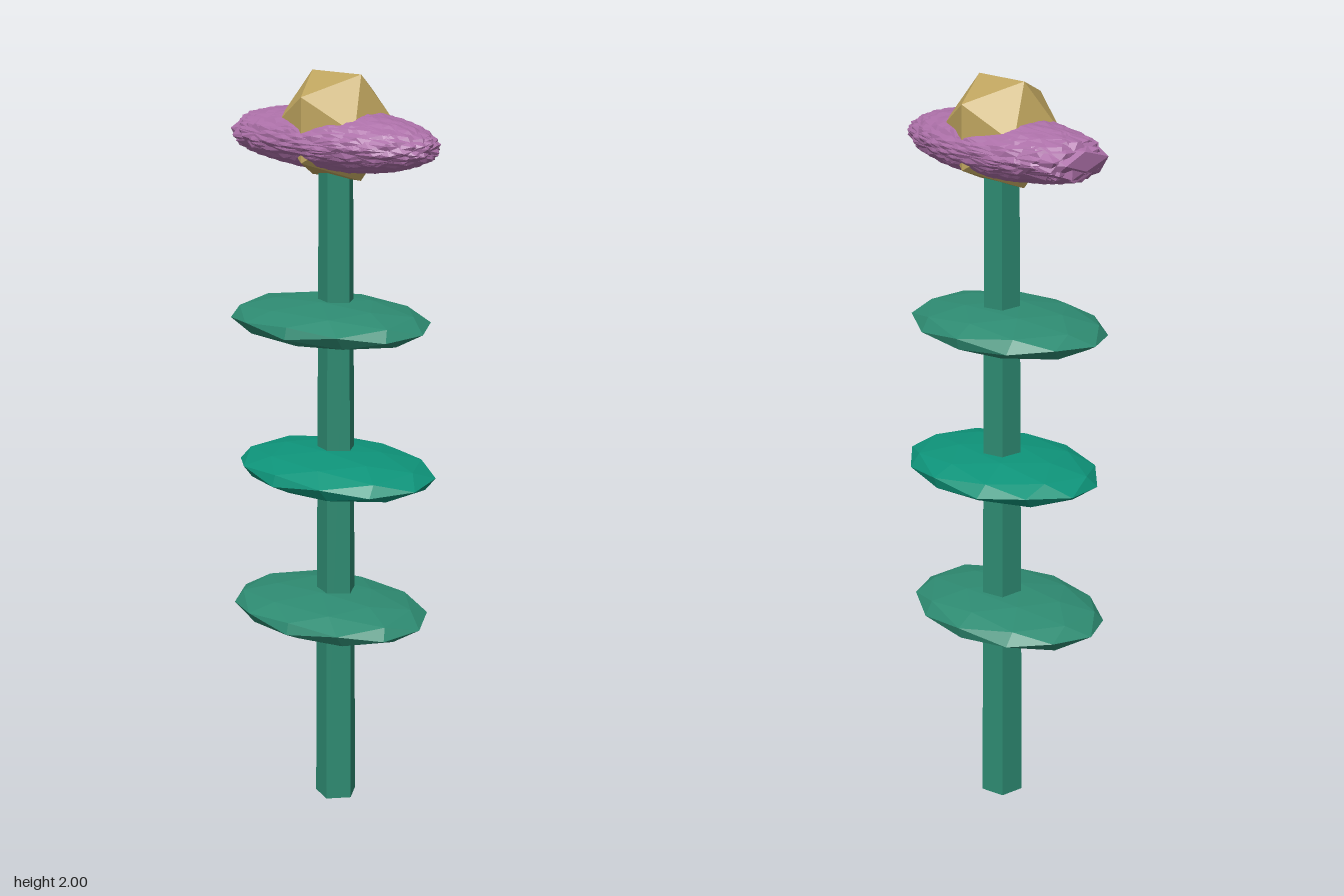
import * as THREE from 'three';

const mat = (color) => new THREE.MeshStandardMaterial({ color, flatShading: true });

// Faceted unit ball, turned first, then stretched, so the facets vary
function facetedBall(rx, ry, rz, sx, sy, sz) {
  const g = new THREE.IcosahedronGeometry(1, 1);
  g.rotateX(rx);
  g.rotateZ(rz);
  g.rotateY(ry);
  g.scale(sx, sy, sz);
  return g;
}

export function createModel() {
  const group = new THREE.Group();
  const green = mat(0x2e8b72);
  const brightGreen = mat(0x0e947a);
  const purple = mat(0xac70a8);
  const gold = mat(0xbfa55f);
  const add = (name, geometry, material, x, y, z) => {
    const mesh = new THREE.Mesh(geometry, material);
    mesh.name = name;
    mesh.position.set(x, y, z);
    group.add(mesh);
    return mesh;
  };

  // Five-sided tapering stem
  const stem = new THREE.CylinderGeometry(0.047, 0.058, 1.8, 5, 1, false, THREE.MathUtils.degToRad(85));
  add('stem', stem, green, -0.01, 0.9, -0.015);

  // Three flat leaf discs
  [[0.553, -0.02, green, 0.12], [0.955, 0.003, brightGreen, -0.12], [1.357, -0.02, green, 0.12]]
    .forEach(([y, x, material, turn], i) => {
      add('leaf' + (i + 1), facetedBall(0.2, turn, 0, 0.297, 0.056, 0.218), material, x, y, 0);
    });

  // Spiky bloom: overlapping turned copies, tapering to the left, blunt on the right
  let seed = 7;
  const rand = () => (seed = (seed * 16807) % 2147483647) / 2147483647;
  const bloom = new THREE.Group();
  bloom.name = 'bloom';
  bloom.position.set(0, 1.831, -0.015);
  group.add(bloom);
  const count = 9;
  for (let i = 0; i < count; i++) {
    const g = facetedBall((rand() - 0.5) * 0.5, (i * Math.PI) / count, (rand() - 0.5) * 0.5, 1, 0.081, 0.148);
    const blunt = -0.29 - 0.03 * rand();
    const p = g.attributes.position;
    for (let k = 0; k < p.count; k++) {
      const u = p.getX(k);
      p.setX(k, u > 0 ? u * 0.315 : Math.max(u * 0.38, blunt));
    }
    g.computeVertexNormals();
    const petal = new THREE.Mesh(g, purple);
    petal.name = 'petalLayer' + (i + 1);
    bloom.add(petal);
  }

  // Faceted flower centre
  add('flowerCentre', new THREE.IcosahedronGeometry(0.158, 0), gold, -0.01, 1.866, -0.015);

  return group;
}
